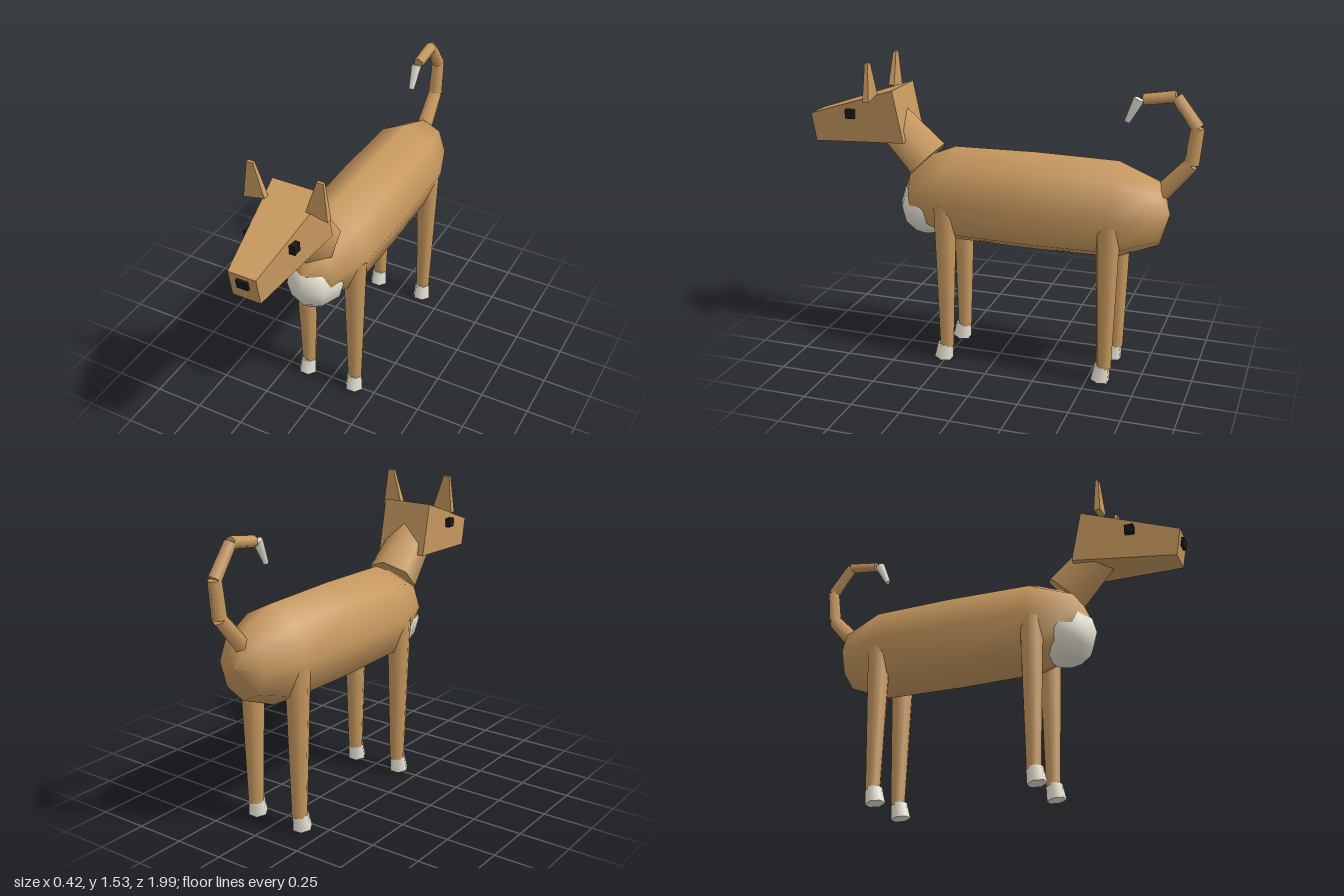
import * as THREE from 'three';

const V = (x, y, z) => new THREE.Vector3(x, y, z);

export function createModel() {
  const group = new THREE.Group();
  const paint = (name, color) => {
    const m = new THREE.MeshStandardMaterial({ color });
    m.name = name;
    return m;
  };
  const tan = paint('tan coat', 0xc8995f);
  const cream = paint('cream markings', 0xf1ecdd);
  const black = paint('black', 0x1a1a1c);

  function add(name, geometry, material) {
    const mesh = new THREE.Mesh(geometry, material);
    mesh.name = name;
    group.add(mesh);
    return mesh;
  }

  // Tapered cylinder running from point a (radius ra) to point b (radius rb)
  function limb(name, a, b, ra, rb, material, sides = 6, turn = 0) {
    const axis = b.clone().sub(a);
    const geo = new THREE.CylinderGeometry(rb, ra, axis.length(), sides, 1);
    geo.rotateY(turn);
    const mesh = add(name, geo, material);
    mesh.position.copy(a).add(b).multiplyScalar(0.5);
    mesh.quaternion.setFromUnitVectors(V(0, 1, 0), axis.normalize());
    return mesh;
  }

  // Box whose corners are placed by a rule taking the corner signs
  function shapedBox(name, rule, material) {
    const geo = new THREE.BoxGeometry(2, 2, 2);
    const p = geo.attributes.position;
    for (let i = 0; i < p.count; i++) {
      p.setXYZ(i, ...rule(p.getX(i), p.getY(i), p.getZ(i)));
    }
    geo.computeVertexNormals();
    return add(name, geo, material);
  }

  // Body: eight-sided barrel with rounded ends
  const profile = [
    [0, -0.85], [0.158, -0.805], [0.245, -0.595], [0.252, -0.18],
    [0.245, 0.235], [0.158, 0.445], [0, 0.51],
  ].map(([r, z]) => new THREE.Vector2(r, z));
  const bodyGeo = new THREE.LatheGeometry(profile, 8);
  bodyGeo.rotateX(Math.PI / 2);
  bodyGeo.scale(0.83, 1, 1);
  add('body', bodyGeo, tan).position.y = 0.862;

  // Chest patch
  const chest = add('chestPatch', new THREE.SphereGeometry(0.155, 8, 6), cream);
  chest.position.set(0, 0.79, 0.38);
  chest.scale.x = 0.92;

  // Neck
  limb('neck', V(0, 1.025, 0.385), V(0, 1.215, 0.575), 0.128, 0.108, tan);

  // Head: wedge narrowing to the muzzle
  shapedBox('head', (x, y, z) => z > 0
    ? [x * 0.07, y > 0 ? 1.235 : 1.093, y > 0 ? 0.993 : 0.968]
    : [x * 0.135, y > 0 ? 1.395 : 1.135, y > 0 ? 0.513 : 0.46], tan);

  // Nose
  const nose = add('nose', new THREE.BoxGeometry(0.056, 0.045, 0.02), black);
  nose.position.set(0, 1.188, 0.988);
  nose.rotation.x = 0.18;

  for (const s of [1, -1]) {
    const side = s > 0 ? 'left' : 'right';

    // Eyes
    const eye = add(side + 'Eye', new THREE.BoxGeometry(0.03, 0.045, 0.045), black);
    eye.position.set(s * 0.113, 1.258, 0.752);

    // Ears: flat tapered blades leaning outward
    shapedBox(side + 'Ear', (x, y, z) => {
      const outer = x * s > 0;
      return y > 0
        ? [s * (outer ? 0.188 : 0.155), 1.532, 0.62 + z * 0.008]
        : [s * (outer ? 0.21 : 0.102), outer ? 1.346 : 1.368, 0.62 + z * 0.016];
    }, tan);

    // Legs and paws
    for (const [end, z] of [['Front', 0.245], ['Back', -0.582]]) {
      limb(side + end + 'Leg', V(s * 0.135, 0.08, z), V(s * 0.137, 0.85, z),
        0.037, 0.061, tan, 8);
      limb(side + end + 'Paw', V(s * 0.138, 0.012, z + 0.017), V(s * 0.136, 0.091, z + 0.006),
        0.049, 0.041, cream, 6, Math.PI / 6);
    }
  }

  // Tail: curled chain of short segments with a pale tip
  const tail = [
    [0.97, -0.805, 0.042], [1.12, -0.937, 0.036], [1.295, -0.957, 0.032],
    [1.435, -0.852, 0.029], [1.412, -0.7, 0.027],
  ];
  for (let i = 0; i < tail.length - 1; i++) {
    const [ya, za, ra] = tail[i];
    const [yb, zb, rb] = tail[i + 1];
    limb('tailSegment' + (i + 1), V(0, ya, za), V(0, yb, zb), ra, rb, tan);
  }
  limb('tailTip', V(0, 1.412, -0.678), V(0, 1.3, -0.625), 0.026, 0.014, cream);

  return group;
}
